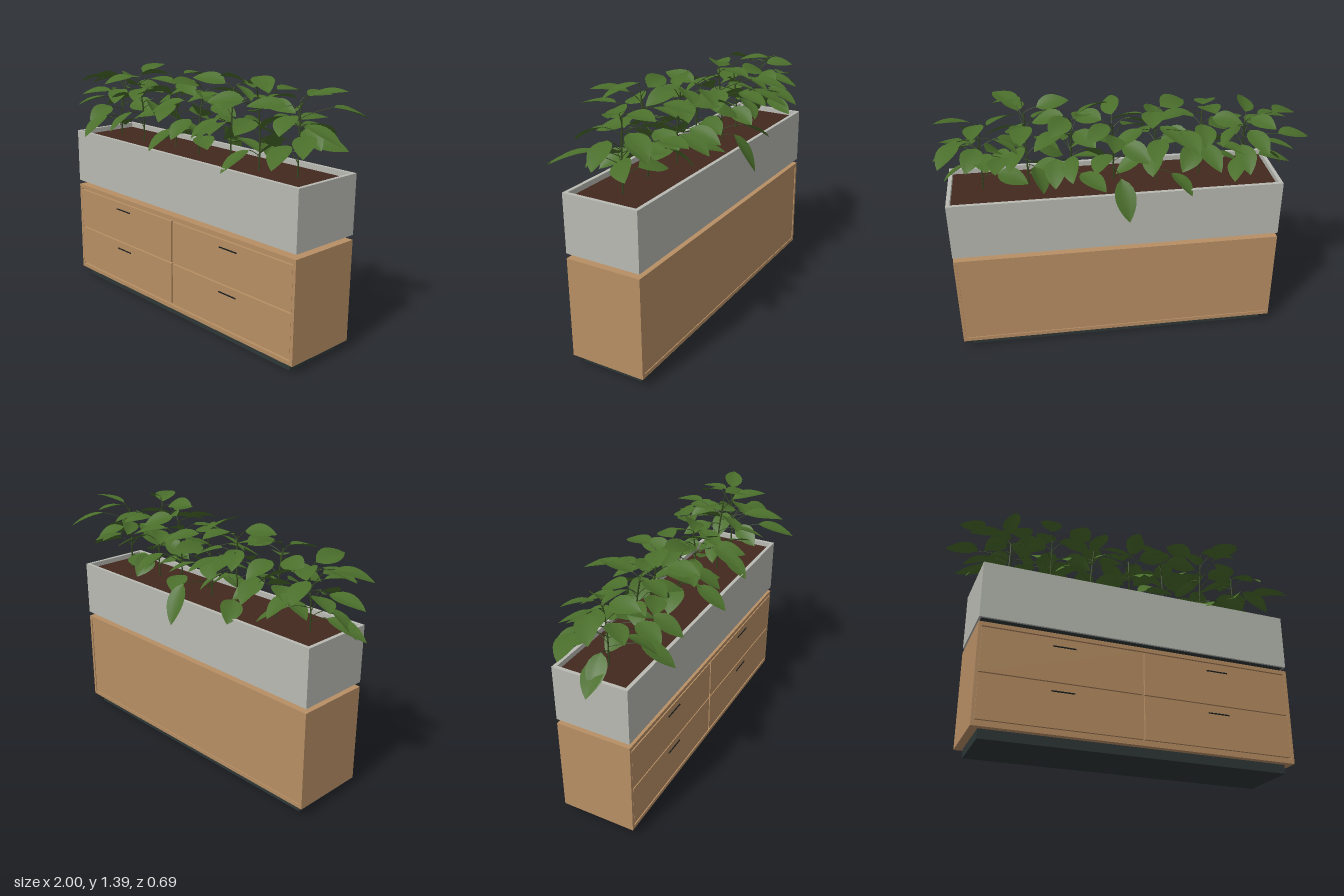
import * as THREE from 'three';
import { mergeGeometries } from 'three/addons/utils/BufferGeometryUtils.js';

const material = (name, color, extra = {}) => {
  const m = new THREE.MeshStandardMaterial({ color, ...extra });
  m.name = name;
  return m;
};

// small seeded generator
function seeded(seed) {
  let s = seed;
  return (lo, hi) => {
    s = (s * 16807) % 2147483647;
    return lo + (hi - lo) * (s / 2147483647);
  };
}

// box given by its limits on each axis
function box(parent, name, mat, [x0, x1], [y0, y1], [z0, z1]) {
  const mesh = new THREE.Mesh(new THREE.BoxGeometry(x1 - x0, y1 - y0, z1 - z0), mat);
  mesh.position.set((x0 + x1) / 2, (y0 + y1) / 2, (z0 + z1) / 2);
  mesh.name = name;
  parent.add(mesh);
}

// ovate leaf along +x: folded at the midrib and bending downward to the tip
function leafGeometry(length, halfWidth, droop) {
  const rows = 8, cols = 4, pos = [], index = [];
  let x = 0, y = 0;
  for (let i = 0; i <= rows; i++) {
    const u = i / rows;
    const w = halfWidth * Math.pow(Math.max(0, Math.sin(Math.PI * Math.pow(u, 0.82))), 0.85);
    for (let j = 0; j <= cols; j++) {
      const v = (j / cols) * 2 - 1;
      pos.push(x, y + Math.abs(v) * w * 0.2, v * w);
    }
    x += (length / rows) * Math.cos(droop * u);
    y -= (length / rows) * Math.sin(droop * u);
  }
  for (let i = 0; i < rows; i++) {
    for (let j = 0; j < cols; j++) {
      const a = i * (cols + 1) + j, b = a + cols + 1;
      index.push(a, a + 1, b, b, a + 1, b + 1);
    }
  }
  const g = new THREE.BufferGeometry();
  g.setAttribute('position', new THREE.Float32BufferAttribute(pos, 3));
  g.setIndex(index);
  g.computeVertexNormals();
  return g;
}

export function createModel() {
  const model = new THREE.Group();
  model.name = 'planterCabinet';

  const wood = material('wood', 0xb88f64);
  const concrete = material('concrete', 0xb8bab2);
  const dark = material('darkMetal', 0x2e3636);
  const black = material('handleBlack', 0x1b1f20);
  const soil = material('soil', 0x42291e);
  const stemGreen = material('stemGreen', 0x35491f);
  const leafGreen = material('leafGreen', 0x4a6e2b, { side: THREE.DoubleSide });

  const X = [-0.832, 0.937], Z = [-0.22, 0.2];
  const middle = (X[0] + X[1]) / 2;

  // cabinet shell
  const cabinet = new THREE.Group();
  cabinet.name = 'cabinet';
  model.add(cabinet);
  const sideY = [0.072, 0.572];
  box(cabinet, 'plinth', dark, [-0.79, 0.894], [0, 0.05], [-0.185, 0.165]);
  box(cabinet, 'bottomPanel', wood, X, [0.05, 0.072], Z);
  box(cabinet, 'topPanel', wood, X, [0.572, 0.594], Z);
  box(cabinet, 'leftPanel', wood, [X[1] - 0.017, X[1]], sideY, Z);
  box(cabinet, 'rightPanel', wood, [X[0], X[0] + 0.017], sideY, Z);
  box(cabinet, 'carcass', wood, [X[0] + 0.017, X[1] - 0.017], sideY, [-0.215, 0.186]);

  // drawers with bar handles
  for (const [x0, x1] of [[X[0] + 0.018, middle - 0.006], [middle + 0.006, X[1] - 0.018]]) {
    for (const [y0, y1] of [[0.084, 0.3175], [0.3265, 0.562]]) {
      box(cabinet, 'drawerFront', wood, [x0, x1], [y0, y1], [0.186, 0.2]);
      const cx = (x0 + x1) / 2, hy = y1 - 0.042;
      box(cabinet, 'drawerHandle', black, [cx - 0.062, cx + 0.062], [hy - 0.003, hy + 0.003], [0.2, 0.204]);
    }
  }

  // feet between cabinet and trough
  for (const x of [-0.664, 0.768]) {
    for (const z of [-0.142, 0.122]) {
      const foot = new THREE.Mesh(new THREE.CylinderGeometry(0.015, 0.019, 0.026, 16), dark);
      foot.position.set(x, 0.607, z);
      foot.name = 'troughFoot';
      model.add(foot);
    }
  }

  // open trough with soil
  const trough = new THREE.Group();
  trough.name = 'trough';
  model.add(trough);
  const T = 0.02, wallY = [0.65, 0.933];
  const innerX = [X[0] + T, X[1] - T], innerZ = [Z[0] + T, Z[1] - T];
  box(trough, 'troughFloor', concrete, X, [0.62, 0.65], Z);
  box(trough, 'basePlate', dark, [X[0] + 0.012, X[1] - 0.012], [0.617, 0.62], [Z[0] + 0.012, Z[1] - 0.012]);
  box(trough, 'frontWall', concrete, X, wallY, [innerZ[1], Z[1]]);
  box(trough, 'backWall', concrete, X, wallY, [Z[0], innerZ[0]]);
  box(trough, 'leftWall', concrete, [innerX[1], X[1]], wallY, innerZ);
  box(trough, 'rightWall', concrete, [X[0], innerX[0]], wallY, innerZ);
  box(trough, 'soil', soil, innerX, [0.65, 0.905], innerZ);

  // plants: stem base x, z and height of the stem tip
  const plants = [
    [-0.66, -0.01, 1.22], [-0.42, 0.01, 1.27], [-0.18, -0.03, 1.29], [0.05, 0.0, 1.25],
    [0.28, -0.02, 1.29], [0.51, 0.01, 1.31], [0.75, -0.01, 1.28],
  ];
  // outer leaves: base x, z, tip x, z, base height, pitch
  const outer = [
    [-0.82, -0.08, -1.0, -0.05, 1.16, -0.1], [-0.75, 0.0, -0.95, 0.05, 1.0, -0.25],
    [-0.61, 0.14, -0.585, 0.31, 1.05, -0.4], [-0.61, 0.13, -0.675, 0.285, 1.16, -0.1],
    [-0.62, -0.1, -0.62, -0.28, 1.12, -0.3], [-0.28, -0.16, -0.33, -0.345, 1.25, -0.1],
    [-0.4, -0.12, -0.46, -0.29, 1.15, -0.3], [-0.17, -0.14, -0.12, -0.32, 1.2, -0.1],
    [0.04, -0.22, 0.015, -0.33, 1.03, -0.9], [0.0, 0.13, -0.01, 0.3, 1.06, -0.4],
    [0.3, 0.09, 0.27, 0.25, 1.15, -0.35], [0.54, 0.16, 0.59, 0.34, 1.27, 0.05],
    [0.8, 0.14, 0.885, 0.33, 1.1, -0.2], [0.85, 0.06, 0.975, 0.23, 1.14, -0.15],
    [0.81, 0.02, 0.99, -0.02, 1.18, -0.3], [0.85, -0.13, 0.94, -0.29, 1.25, -0.2],
    [0.64, -0.15, 0.67, -0.32, 1.16, 0.1], [0.52, -0.1, 0.54, -0.27, 1.3, 0],
    [0.36, -0.09, 0.38, -0.26, 1.1, -0.3], [0.52, 0.04, 0.68, 0.14, 1.38, -0.15],
    [-0.8, -0.02, -0.95, 0.08, 1.26, -0.15],
  ];
  const rand = seeded(90127);

  plants.forEach(([px, pz, top], p) => {
    const plant = new THREE.Group();
    plant.name = 'plant';
    model.add(plant);
    const leanX = rand(-0.03, 0.03), leanZ = rand(-0.03, 0.03);
    const curve = new THREE.QuadraticBezierCurve3(
      new THREE.Vector3(px, 0.895, pz),
      new THREE.Vector3(px + leanX * 0.2, 1.08, pz - leanZ * 0.5),
      new THREE.Vector3(px + leanX, top, pz + leanZ));
    const stems = [new THREE.TubeGeometry(curve, 8, 0.004, 6)];
    const leaves = [];
    const stemPoint = (y) => curve.getPoint(THREE.MathUtils.clamp((y - 0.895) / (top - 0.895), 0.02, 1));

    // petiole from the stem with a leaf at its end
    const addLeaf = (from, to, angle, pitch, length, width, droop, roll) => {
      const mid = from.clone().lerp(to, 0.5);
      mid.y += 0.012;
      stems.push(new THREE.TubeGeometry(new THREE.QuadraticBezierCurve3(from, mid, to), 4, 0.002, 5));
      const g = leafGeometry(length, width, droop);
      g.rotateX(roll).rotateZ(pitch).rotateY(-angle).translate(to.x, to.y, to.z);
      leaves.push(g);
    };

    // spiral of leaves up the stem, shorter toward the row's ends
    const count = 12, turn = rand(0, 6.28);
    for (let i = 0; i < count; i++) {
      const f = i / (count - 1);
      const angle = turn + i * 2.4 + rand(-0.25, 0.25);
      const reach = rand(0.05, 0.12) * (1 - 0.4 * f);
      const from = stemPoint(0.99 + (top - 0.99) * Math.pow(f, 0.8) + rand(-0.02, 0.02));
      const to = from.clone().add(new THREE.Vector3(Math.cos(angle) * reach, rand(0.01, 0.06), Math.sin(angle) * reach));
      to.x = THREE.MathUtils.clamp(to.x, -0.8, 0.8);
      addLeaf(from, to, angle, -0.3 + 0.4 * f + rand(-0.25, 0.25),
        rand(0.16, 0.2), rand(0.05, 0.062), rand(0.2, 0.5), rand(-0.5, 0.5));
    }
    for (const [bx, bz, tx, tz, y, pitch] of outer) {
      if (Math.min(6, Math.max(0, Math.round((bx + 0.66) / 0.235))) !== p) continue;
      const length = Math.hypot(tx - bx, tz - bz) / Math.cos(pitch - 0.15) + 0.005;
      addLeaf(stemPoint(y - 0.05), new THREE.Vector3(bx, y, bz),
        Math.atan2(tz - bz, tx - bx), pitch, length, 0.056, 0.3, 0.1);
    }

    const stemMesh = new THREE.Mesh(mergeGeometries(stems), stemGreen);
    stemMesh.name = 'stems';
    const leafMesh = new THREE.Mesh(mergeGeometries(leaves), leafGreen);
    leafMesh.name = 'leaves';
    plant.add(stemMesh, leafMesh);
  });

  return model;
}
